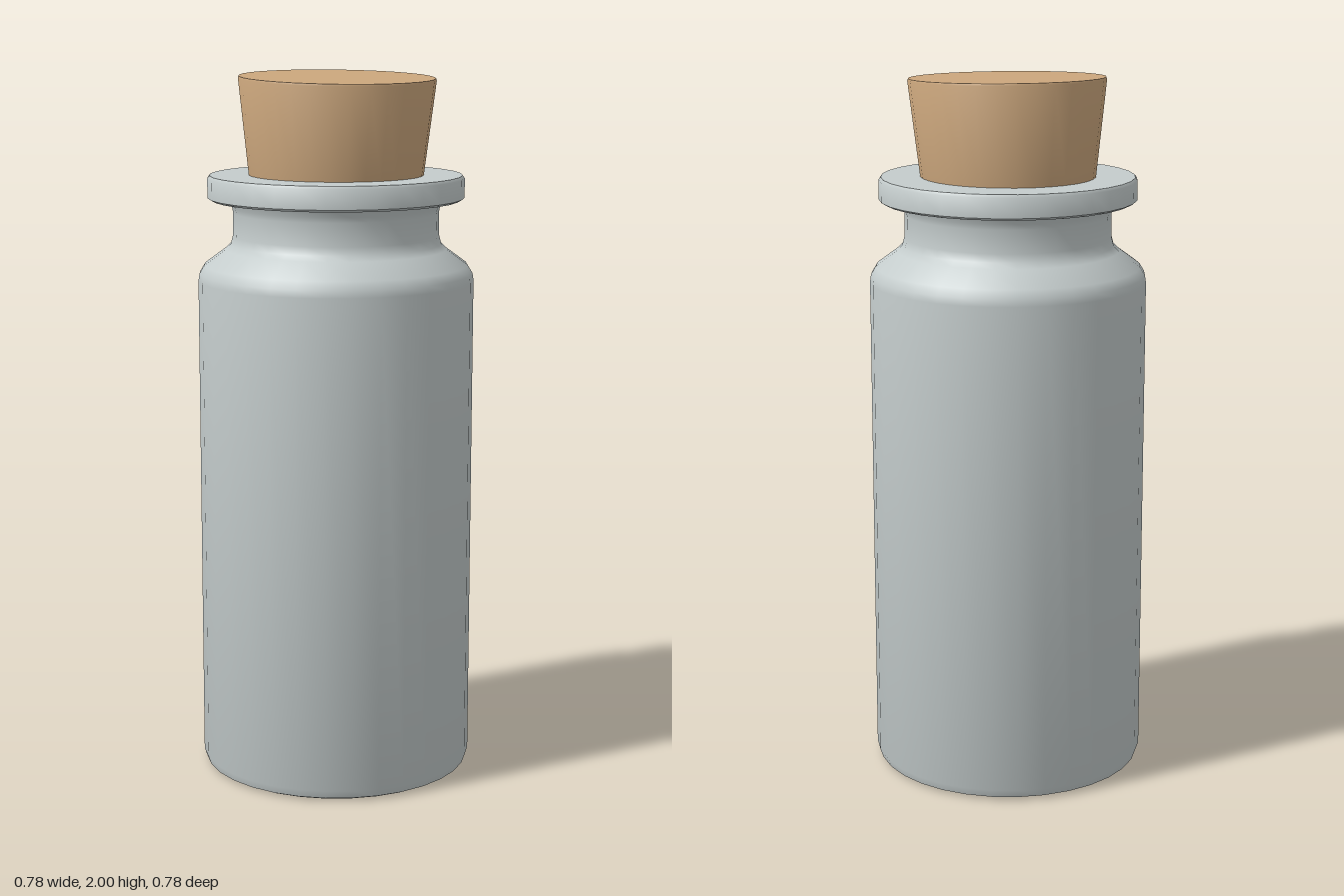
import * as THREE from 'three';
import { toCreasedNormals } from 'three/addons/utils/BufferGeometryUtils.js';

const SIDES = 32;

// Turns a [radius, height] profile, keeping hard edges sharp
function turned(name, profile, color) {
  const points = profile.map(([r, y]) => new THREE.Vector2(r, y));
  const geometry = toCreasedNormals(new THREE.LatheGeometry(points, SIDES), 0.75);
  const mesh = new THREE.Mesh(geometry, new THREE.MeshStandardMaterial({ color }));
  mesh.name = name;
  return mesh;
}

export function createModel() {
  const group = new THREE.Group();
  group.name = 'corkedBottle';

  // Bottle: base, straight wall, shoulder, neck, flat lip and bore
  const bottle = turned('bottle', [
    [0, 0.003], [0.34, 0.003], [0.365, 0.004], [0.382, 0.012], [0.39, 0.035],
    [0.39, 1.425], [0.387, 1.445], [0.373, 1.468], [0.313, 1.512], [0.298, 1.527],
    [0.292, 1.55], [0.29, 1.615], [0.293, 1.63], [0.302, 1.65],
    [0.35, 1.65], [0.362, 1.657], [0.362, 1.712], [0.356, 1.72],
    [0.238, 1.72], [0.225, 1.6], [0.225, 1.45], [0, 1.45],
  ], 0xc4cccc);
  group.add(bottle);

  // Tapered cork, slightly oval and leaning in the neck
  const cork = turned('cork', [
    [0, -0.2], [0.218, -0.2], [0.248, 0], [0.279, 0.266], [0.277, 0.272], [0, 0.272],
  ], 0xcca77d);
  cork.position.y = 1.72;
  cork.scale.z = 0.965;
  cork.rotation.set(0.022, 0, -0.025);
  group.add(cork);

  return group;
}
